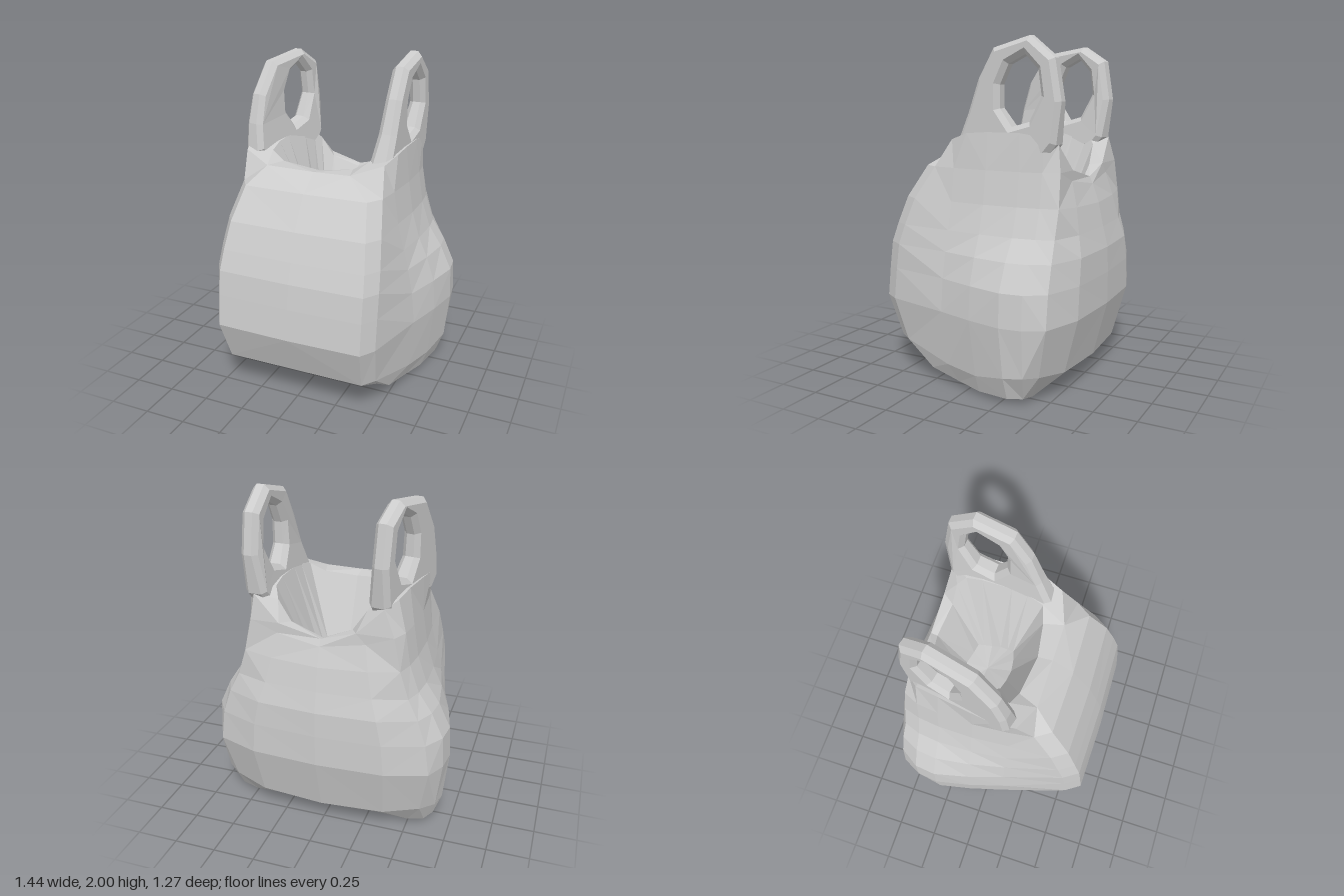
import * as THREE from 'three';

const bagMaterial = new THREE.MeshStandardMaterial({ color: 0xcccccc, flatShading: true });
bagMaterial.name = 'light grey plastic';

// Mirror a half ring (front centre -> +x side -> back centre) into a closed loop;
// skew turns the -x side a little, to follow its handle
const closeRing = (half, skew = 0) => [
  ...half,
  ...half.slice(1, -1).reverse().map(([x, y, z]) => [-x - skew * (z + 0.2), y, z]),
];

// Horizontal cross-section of the sack: height, front z, corner x, side x, widest x,
// back corner x, back z, rounding of the back corner, sag of the back centre
const section = ([y, zf, cx, mx, w, bx, zb, round, sag]) => [
  [0, y, zf], [cx, y, zf - 0.01], [cx + 0.06, y, zf - 0.1], [mx, y, 0.14],
  [(mx + w) / 2 + 0.01, y, -0.08], [w, y, -0.29], [w - 0.015, y, -0.42],
  [bx, y, zb + round], [bx * 0.62, y - sag * 0.6, zb + 0.02], [0, y - sag, zb],
];

const dist = (a, b) => Math.hypot(a[0] - b[0], a[1] - b[1], a[2] - b[2]);

// Skin a stack of rings from bottom to top and close both ends with fans
function loft(rings, bottom, top) {
  const pos = [];
  const tri = (...pts) => pts.forEach((p) => pos.push(...p));
  const n = rings[0].length;
  for (let j = 0; j < n; j++) {
    const k = (j + 1) % n;
    for (let i = 0; i < rings.length - 1; i++) {
      const a = rings[i], b = rings[i + 1];
      // Split each quad along its shorter diagonal
      if (dist(a[j], b[k]) < dist(a[k], b[j])) {
        tri(a[j], a[k], b[k]);
        tri(a[j], b[k], b[j]);
      } else {
        tri(a[j], a[k], b[j]);
        tri(a[k], b[k], b[j]);
      }
    }
    const last = rings[rings.length - 1];
    tri(bottom, rings[0][k], rings[0][j]);
    tri(top, last[j], last[k]);
  }
  const geo = new THREE.BufferGeometry();
  geo.setAttribute('position', new THREE.Float32BufferAttribute(pos, 3));
  geo.computeVertexNormals();
  return geo;
}

function makeSack() {
  // Sagging underside, lowest towards the back
  const underside = [
    [0, 0.08, 0.3], [0.44, 0.08, 0.3], [0.51, 0.07, 0.27], [0.55, 0.035, 0.06], [0.6, 0.025, -0.1],
    [0.64, 0.035, -0.3], [0.6, 0.035, -0.38], [0.5, 0.015, -0.39], [0.3, 0.005, -0.37], [0, 0, -0.36],
  ];
  const lowerEdge = [
    [0, 0.21, 0.54], [0.43, 0.21, 0.54], [0.49, 0.21, 0.46], [0.58, 0.14, 0.12], [0.64, 0.13, -0.1],
    [0.69, 0.17, -0.3], [0.67, 0.18, -0.41], [0.59, 0.17, -0.47], [0.38, 0.14, -0.53], [0, 0.13, -0.55],
  ];
  const sides = [
    [0.46, 0.64, 0.45, 0.61, 0.72, 0.645, -0.635, 0.1, 0],
    [0.65, 0.62, 0.45, 0.59, 0.71, 0.62, -0.635, 0.1, 0],
    [0.8, 0.6, 0.45, 0.56, 0.64, 0.57, -0.63, 0.1, 0],
    [0.92, 0.56, 0.44, 0.53, 0.56, 0.51, -0.6, 0.08, 0],
    [1.08, 0.5, 0.42, 0.49, 0.505, 0.46, -0.57, 0.05, 0.02],
    [1.27, 0.38, 0.38, 0.46, 0.475, 0.42, -0.53, 0.02, 0.1],
  ].map(section);
  // Rim, rising at the sides into the handles, and the hollow between them
  const rimOuter = [
    [0, 1.365, 0.25], [0.23, 1.37, 0.25], [0.41, 1.43, 0.18], [0.45, 1.47, 0.06], [0.455, 1.48, -0.08],
    [0.455, 1.48, -0.28], [0.45, 1.46, -0.42], [0.4, 1.42, -0.49], [0.25, 1.27, -0.51], [0, 1.21, -0.51],
  ];
  const rimInner = [
    [0, 1.35, 0.16], [0.2, 1.37, 0.13], [0.29, 1.42, 0.1], [0.31, 1.45, 0.0], [0.315, 1.46, -0.1],
    [0.315, 1.46, -0.28], [0.31, 1.44, -0.38], [0.28, 1.38, -0.43], [0.2, 1.26, -0.44], [0, 1.2, -0.47],
  ];
  const hollow = [
    [0, 0.98, 0], [0.07, 0.98, -0.01], [0.13, 0.97, -0.03], [0.14, 0.95, -0.07], [0.15, 0.93, -0.12],
    [0.15, 0.9, -0.18], [0.145, 0.89, -0.23], [0.14, 0.88, -0.27], [0.08, 0.88, -0.28], [0, 0.88, -0.3],
  ];
  const rings = [
    ...[underside, lowerEdge, ...sides].map((r) => closeRing(r)),
    closeRing(rimOuter, 0.15), closeRing(rimInner, 0.15), closeRing(hollow),
  ];
  const sack = new THREE.Mesh(loft(rings, [0, 0.02, -0.05], [0, 0.89, -0.16]), bagMaterial);
  sack.name = 'sack';
  return sack;
}

// Bevelled loop handle; side is +1 or -1, outline points are [z, y]
function makeHandle(side, yaw, x, outline, name) {
  const toV2 = ([z, y]) => new THREE.Vector2(-z, y);
  const hole = [
    [-0.14, 1.61], [-0.215, 1.51], [-0.325, 1.54], [-0.4, 1.68],
    [-0.38, 1.82], [-0.3, 1.9], [-0.195, 1.85], [-0.14, 1.74],
  ];
  const shape = new THREE.Shape(outline.map(toV2));
  shape.holes.push(new THREE.Path(hole.map(toV2)));
  const bevel = 0.028, depth = 0.045;
  const geo = new THREE.ExtrudeGeometry(shape, {
    depth, bevelEnabled: true, bevelSegments: 1, bevelSize: bevel,
    bevelThickness: bevel, bevelOffset: -bevel,
  });
  geo.translate(0, 0, -depth / 2);
  geo.rotateY(Math.PI / 2);
  // Thicken the inner face towards the base so it flows into the rim
  const p = geo.attributes.position;
  for (let i = 0; i < p.count; i++) {
    if (p.getX(i) * side < 0) {
      const t = THREE.MathUtils.clamp((1.65 - p.getY(i)) / 0.3, 0, 1);
      p.setX(i, p.getX(i) - side * 0.04 * t);
    }
  }
  geo.translate(0, 0, 0.2);
  geo.computeVertexNormals();
  const handle = new THREE.Mesh(geo, bagMaterial);
  handle.position.set(side * x, 0, -0.2);
  handle.rotation.y = yaw;
  handle.name = name;
  return handle;
}

export function createModel() {
  const bag = new THREE.Group();
  bag.name = 'carrierBag';
  const back = [[-0.33, 2], [-0.48, 1.88], [-0.52, 1.65], [-0.49, 1.42], [-0.43, 1.35]];
  bag.add(
    makeSack(),
    makeHandle(1, -0.05, 0.395,
      [[0.06, 1.35], [0.14, 1.42], [0.07, 1.58], [0, 1.77], [-0.1, 1.94], ...back], 'leftHandle'),
    makeHandle(-1, -0.2, 0.388,
      [[0.08, 1.35], [0.16, 1.42], [0.14, 1.58], [0.09, 1.75], [-0.04, 1.93],
        ...back.map(([z, y]) => [z, y > 1.9 ? y - 0.03 : y])], 'rightHandle'),
  );
  return bag;
}
